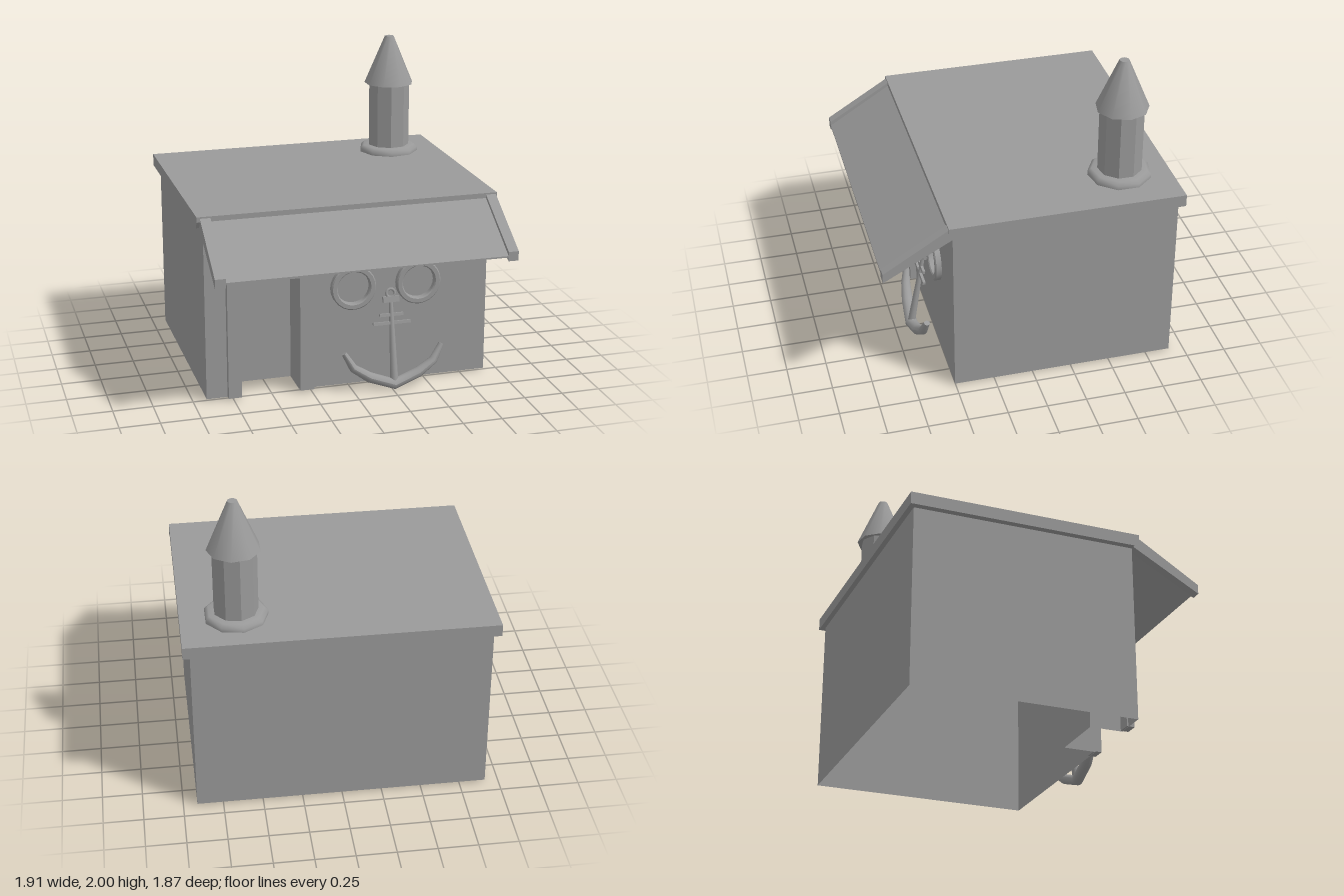
import * as THREE from 'three';
import { toCreasedNormals } from 'three/addons/utils/BufferGeometryUtils.js';

const smooth = new THREE.MeshStandardMaterial({ color: 0x9a9a9a, side: THREE.DoubleSide });
const flat = new THREE.MeshStandardMaterial({ color: 0x9a9a9a, side: THREE.DoubleSide, flatShading: true });

function add(parent, name, geometry, material = flat, x = 0, y = 0, z = 0) {
  const mesh = new THREE.Mesh(geometry, material);
  mesh.name = name;
  mesh.position.set(x, y, z);
  parent.add(mesh);
  return mesh;
}

const vectors = (points) => points.map(([x, y]) => new THREE.Vector2(x, y));
const shapeOf = (points) => new THREE.Shape(vectors(points));

// Extrudes a (z, y) side profile along x from x0 to x1
function sideExtrude(points, x0, x1) {
  const g = new THREE.ExtrudeGeometry(shapeOf(points), { depth: x1 - x0, bevelEnabled: false });
  return g.rotateY(-Math.PI / 2).translate(x1, 0, 0);
}

// Upright wall between two floor points
function wall(parent, name, [xa, za], [xb, zb], y0, y1) {
  const g = new THREE.PlaneGeometry(Math.hypot(xb - xa, zb - za), y1 - y0);
  const mesh = add(parent, name, g, flat, (xa + xb) / 2, (y0 + y1) / 2, (za + zb) / 2);
  mesh.rotation.y = -Math.atan2(zb - za, xb - xa);
}

// Closed round bar following [x, y, radius] stations in the xy plane
function taperedBar(stations, sides, depthScale) {
  const n = stations.length - 1;
  const g = new THREE.CylinderGeometry(1, 1, 1, sides, n);
  const p = g.attributes.position;
  for (let i = 0; i < p.count; i++) {
    const k = Math.round((p.getY(i) + 0.5) * n);
    const [x, y, r] = stations[k];
    const a = stations[Math.max(k - 1, 0)], b = stations[Math.min(k + 1, n)];
    const len = Math.hypot(b[0] - a[0], b[1] - a[1]);
    const nx = (b[1] - a[1]) / len, ny = -(b[0] - a[0]) / len;
    const s = p.getX(i) * r;
    p.setXYZ(i, x + nx * s, y + ny * s, p.getZ(i) * r * depthScale);
  }
  g.computeVertexNormals();
  return g;
}

function createBuilding() {
  const g = new THREE.Group();
  g.name = 'building';
  const L = -0.915, R = 0.913, F = 0.504, B = -0.904, y0 = 0.014, y1 = 1.18;
  const dl = -0.699, dr = -0.323, dt = 0.767, db = 0.295;
  // Front wall with the doorway cut out
  add(g, 'frontWall', new THREE.ShapeGeometry(shapeOf([
    [L, y0], [dl, y0], [dl, dt], [dr, dt], [dr, y0], [R, y0], [R, y1], [L, y1]])), flat, 0, 0, F);
  wall(g, 'leftWall', [R, F], [R, B], y0, y1);
  wall(g, 'backWall', [R, B], [L, B], y0, y1);
  wall(g, 'rightWall', [L, B], [L, F], y0, y1);
  // Recessed doorway
  wall(g, 'doorRecessRight', [dl, F], [dl, db], y0, dt);
  wall(g, 'door', [dl, db], [dr, db], y0, dt);
  wall(g, 'doorRecessLeft', [dr, db], [dr, F], y0, dt);
  add(g, 'doorRecessTop', new THREE.PlaneGeometry(dr - dl, F - db).rotateX(Math.PI / 2),
    flat, (dl + dr) / 2, dt, (F + db) / 2);
  // Door frame
  const frame = shapeOf([[-0.783, 0.018], [dl, 0.018], [dl, dt], [dr, dt], [dr, 0.018],
    [-0.234, 0.018], [-0.234, 0.847], [-0.783, 0.847]]);
  add(g, 'doorFrame', new THREE.ExtrudeGeometry(frame, { depth: 0.05, bevelEnabled: false }), flat, 0, 0, 0.495);
  return g;
}

function createRoof() {
  const g = new THREE.Group();
  g.name = 'roofAndAwning';
  add(g, 'roof', sideExtrude(
    [[-0.936, 1.133], [0.505, 1.133], [0.535, 1.177], [0.535, 1.21], [-0.936, 1.21]], -0.957, 0.957));
  // Sloping awning sheet held between two rails
  add(g, 'awning', sideExtrude([[0.527, 1.166], [0.936, 0.917], [0.936, 0.927], [0.535, 1.178]], -0.9, 0.91));
  for (const [name, x0, x1] of [['awningRailRight', -0.937, -0.872], ['awningRailLeft', 0.885, 0.95]]) {
    add(g, name, sideExtrude([[0.505, 1.133], [0.937, 0.893], [0.937, 0.953], [0.535, 1.2]], x0, x1));
  }
  return g;
}

function createChimney() {
  const g = new THREE.Group();
  g.name = 'chimney';
  g.position.set(0.614, 1.21, -0.62);
  const base = [[0.198, 0], [0.198, 0.025], [0.175, 0.044], [0.12, 0.046]];
  add(g, 'chimneyBase', new THREE.LatheGeometry(vectors(base), 9, -Math.PI / 2), smooth);
  add(g, 'chimneyShaft', new THREE.CylinderGeometry(0.138, 0.138, 0.43, 9, 1, false, -Math.PI / 2), flat, 0, 0.255, 0);
  add(g, 'chimneyCap', new THREE.CylinderGeometry(0.03, 0.165, 0.32, 9, 1, false, Math.PI / 2), smooth, 0, 0.63, 0);
  return g;
}

function createAnchor() {
  const g = new THREE.Group();
  g.name = 'anchor';
  g.position.set(0.262, 0.038, 0.645);
  g.rotation.x = -0.175;
  // Curved arms, thick at the crown and thin at the tips
  const half = [[0.32, 0.228, 0.017], [0.264, 0.128, 0.027], [0.162, 0.06, 0.033]];
  const arms = [...half.map(([x, y, r]) => [-x, y, r]), [0, 0, 0.034], ...half.slice().reverse()];
  add(g, 'anchorArms', taperedBar(arms, 12, 1.15), smooth);
  add(g, 'anchorShank', new THREE.CylinderGeometry(0.012, 0.026, 0.53, 10), smooth, 0, 0.275, 0);
  // Collar, cross bars and ring
  add(g, 'anchorCollar', new THREE.BoxGeometry(0.105, 0.038, 0.022), flat, 0, 0.544, 0);
  for (const [y, w] of [[0.445, 0.155], [0.393, 0.245]]) {
    add(g, 'anchorCrossBar', new THREE.BoxGeometry(w, 0.018, 0.018), flat, 0, y, 0);
  }
  add(g, 'anchorRing', new THREE.TorusGeometry(0.027, 0.009, 8, 16), smooth, 0, 0.582, 0);
  return g;
}

export function createModel() {
  const model = new THREE.Group();
  model.name = 'harbourHouse';
  model.add(createBuilding(), createRoof(), createChimney(), createAnchor());
  // Round window rims with chamfered edges
  const rim = [[0.145, 0], [0.145, 0.033], [0.138, 0.04], [0.112, 0.04], [0.105, 0.033], [0.105, 0]];
  for (const x of [0.025, 0.45]) {
    const g = new THREE.LatheGeometry(vectors(rim), 24).rotateX(Math.PI / 2);
    add(model, 'portholeRim', toCreasedNormals(g, 0.5), smooth, x, 0.665, 0.504);
  }
  return model;
}
